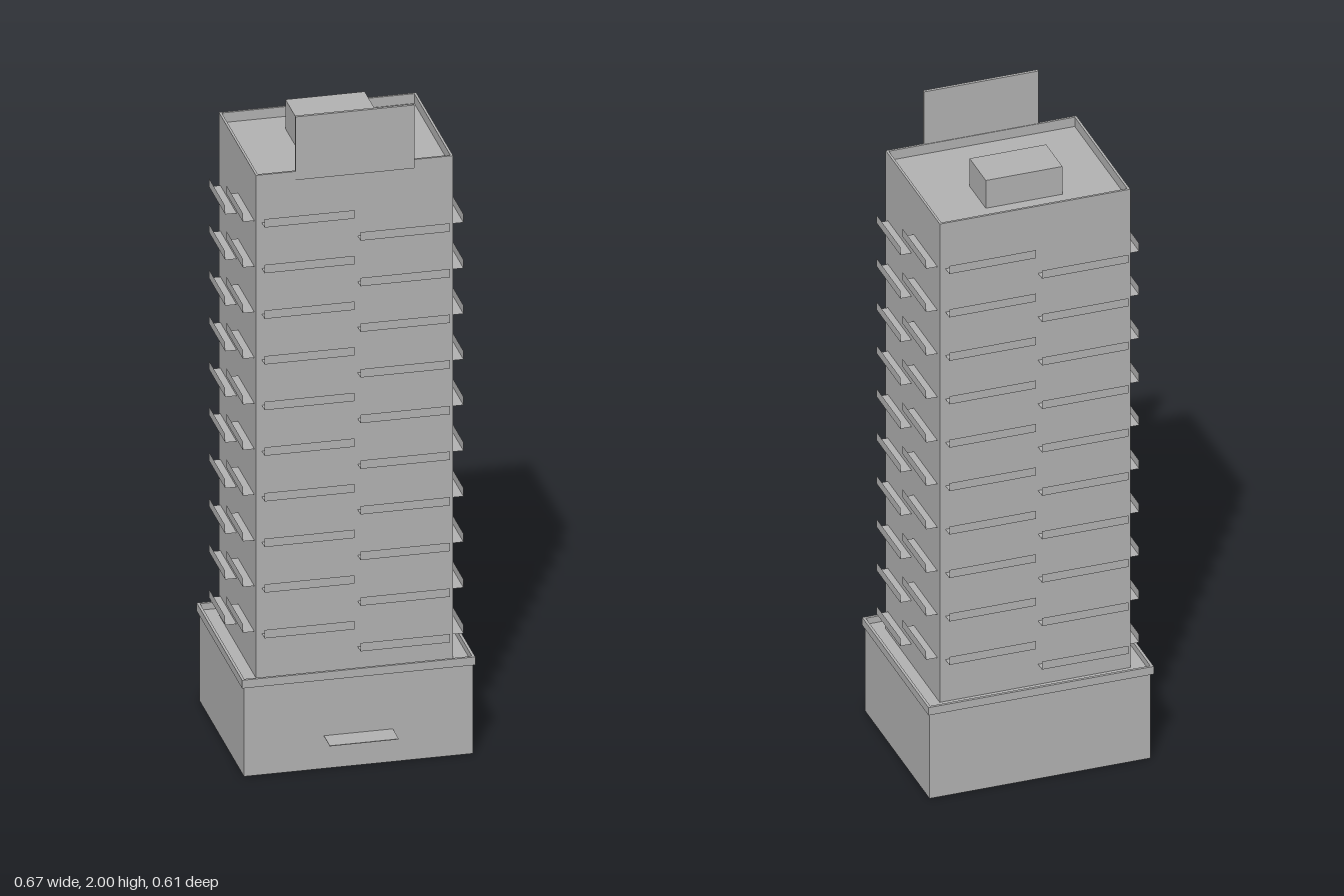
import * as THREE from 'three';

export function createModel() {
  const model = new THREE.Group();
  const concrete = new THREE.MeshStandardMaterial({ color: 0xb2b2b2, side: THREE.DoubleSide });
  concrete.name = 'concrete grey';

  const add = (name, geometry, parent = model) => {
    const mesh = new THREE.Mesh(geometry, concrete);
    mesh.name = name;
    parent.add(mesh);
    return mesh;
  };

  // Box given by its limits on each axis
  const block = (name, x0, x1, y0, y1, z0, z1) => {
    const geometry = new THREE.BoxGeometry(x1 - x0, y1 - y0, z1 - z0);
    geometry.translate((x0 + x1) / 2, (y0 + y1) / 2, (z0 + z1) / 2);
    return add(name, geometry);
  };

  // Rectangular ring of wall thickness t, standing from y0 to y1
  const rim = (name, x0, x1, y0, y1, z0, z1, t) => {
    const rect = (C, i) => new C([
      new THREE.Vector2(x0 + i, -z0 - i), new THREE.Vector2(x0 + i, -z1 + i),
      new THREE.Vector2(x1 - i, -z1 + i), new THREE.Vector2(x1 - i, -z0 - i),
    ]);
    const shape = rect(THREE.Shape, 0);
    shape.holes.push(rect(THREE.Path, t));
    const geometry = new THREE.ExtrudeGeometry(shape, { depth: y1 - y0, bevelEnabled: false });
    geometry.rotateX(-Math.PI / 2).translate(0, y0, 0);
    return add(name, geometry);
  };

  // Podium: hollow and open underneath (bottom face dropped from the index)
  const podium = block('podium', -0.331, 0.33, 0, 0.28, -0.295, 0.232);
  const index = Array.from(podium.geometry.index.array);
  index.splice(18, 6);
  podium.geometry.clearGroups();
  podium.geometry.setIndex(index);
  rim('podiumCornice', -0.338, 0.336, 0.275, 0.3, -0.303, 0.238, 0.008);
  block('entranceCanopy', -0.1, 0.099, 0.099, 0.101, 0.232, 0.302);

  // Tower with a sunken roof behind a thin parapet
  block('tower', -0.286, 0.284, 0.28, 1.8, -0.253, 0.188);
  rim('roofParapet', -0.286, 0.284, 1.8, 1.83, -0.253, 0.188, 0.007);
  block('roofHousing', -0.115, 0.114, 1.8, 1.89, -0.165, -0.033);
  block('roofScreen', -0.172, 0.171, 1.805, 2, 0.183, 0.192);

  // Balconies: open-ended slab and rail, staggered low and high on each side
  const floors = 10, pitch = 0.1408, low = 0.345, high = 0.415, railHeight = 0.026;
  const sides = [
    { name: 'front', yaw: 0, wall: 0.188, edge: 0.222,
      bays: [[-0.269, -0.01, high], [0.008, 0.267, low]] },
    { name: 'back', yaw: Math.PI, wall: 0.253, edge: 0.285,
      bays: [[-0.267, -0.008, high], [0.01, 0.269, low]] },
    { name: 'left', yaw: Math.PI / 2, wall: 0.284, edge: 0.318,
      bays: [[-0.17, 0.024, low], [0.041, 0.235, high]] },
    { name: 'right', yaw: -Math.PI / 2, wall: 0.286, edge: 0.319,
      bays: [[-0.235, -0.041, low], [-0.024, 0.17, high]] },
  ];
  for (const { name, yaw, wall, edge, bays } of sides) {
    const side = new THREE.Group();
    side.name = name + 'Balconies';
    side.rotation.y = yaw;
    model.add(side);
    for (const [a, b, base] of bays) {
      const slab = new THREE.PlaneGeometry(b - a, edge - wall).rotateX(-Math.PI / 2);
      slab.translate((a + b) / 2, 0, (wall + edge) / 2);
      const rail = new THREE.PlaneGeometry(b - a, railHeight);
      rail.translate((a + b) / 2, railHeight / 2, edge);
      for (let i = 0; i < floors; i++) {
        add('balconySlab', slab, side).position.y = base + i * pitch;
        add('balconyRail', rail, side).position.y = base + i * pitch;
      }
    }
  }
  return model;
}
